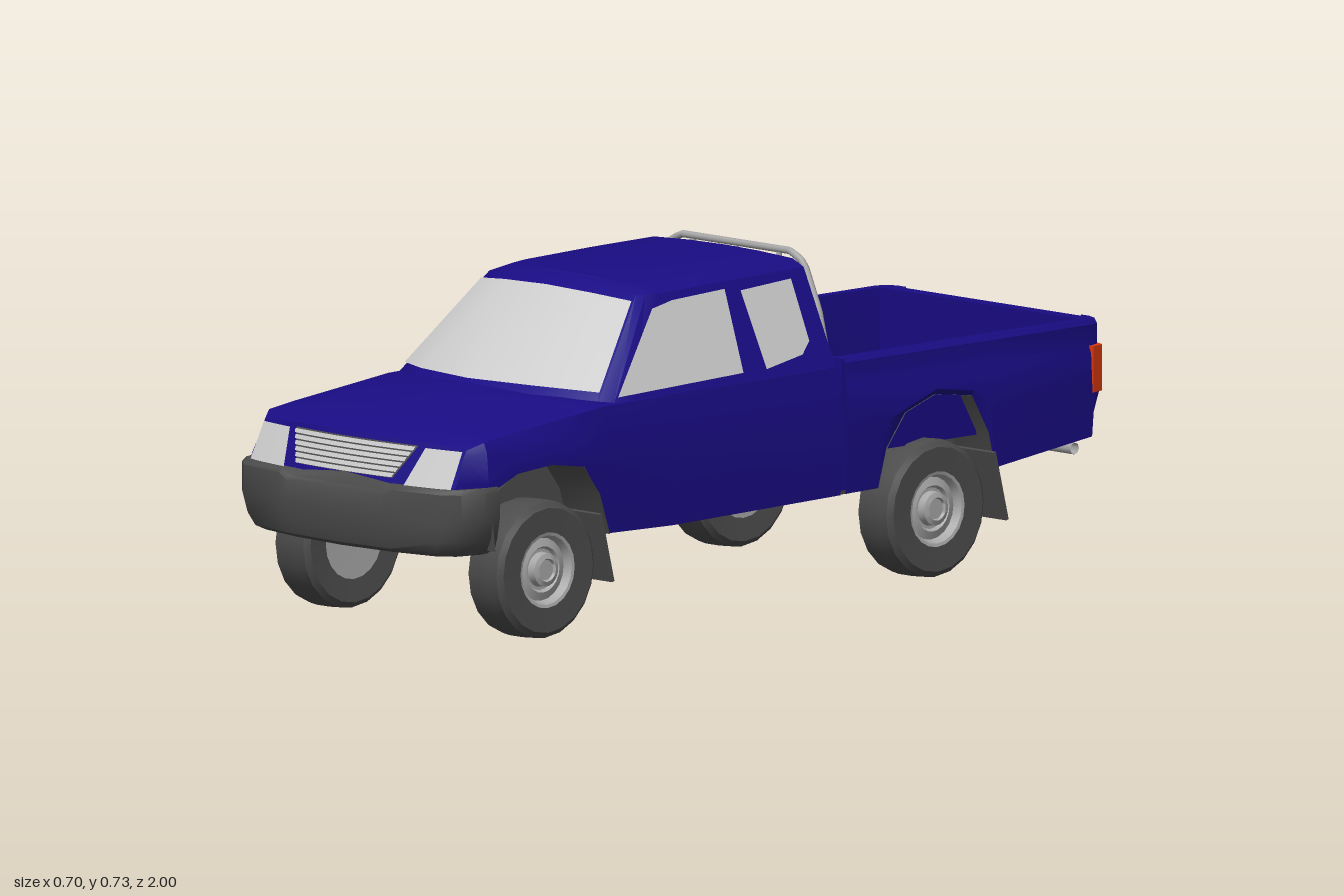
import * as THREE from 'three';
import { toCreasedNormals } from 'three/addons/utils/BufferGeometryUtils.js';

const mat = (color) => new THREE.MeshStandardMaterial({ color, side: THREE.DoubleSide });
const paint = mat(0x190c84), grey = mat(0xcccccc), dark = mat(0x4c4c4c);
const under = mat(0x333333), metal = mat(0xa8a8a8), lamp = mat(0xdd3a10);

function add(parent, name, geometry, material) {
  const mesh = new THREE.Mesh(geometry, material);
  mesh.name = name;
  parent.add(mesh);
  return mesh;
}

// Skin through equal-length rows of [x, y, z] points
function loft(rows, crease = 0.5) {
  const n = rows[0].length, index = [];
  for (let i = 0; i < rows.length - 1; i++) {
    for (let j = 0; j < n - 1; j++) {
      const a = i * n + j, b = a + n;
      index.push(a, b, a + 1, a + 1, b, b + 1);
    }
  }
  const g = new THREE.BufferGeometry();
  g.setAttribute('position', new THREE.Float32BufferAttribute(rows.flat(2), 3));
  g.setIndex(index);
  return toCreasedNormals(g, crease);
}

// Flat convex panel
function panel(points) {
  const g = new THREE.BufferGeometry();
  g.setAttribute('position', new THREE.Float32BufferAttribute(points.flat(), 3));
  g.setIndex(points.slice(2).flatMap((_, i) => [0, i + 1, i + 2]));
  g.computeVertexNormals();
  return g;
}

const flip = ([x, y, z]) => [-x, y, z];
// Half row ending on the centre line -> full row
const mirror = (half) => [...half, ...half.slice(0, -1).reverse().map(flip)];
const mix = (a, b, t) => a.map((v, i) => v + (b[i] - v) * t);
const noseZ = (x, y) => 0.965 - 0.5 * (y - 0.35) - 0.35 * x * x;

// Panel following the curved nose
function nosePanel(bottom, top, y0, y1, lift) {
  const row = ([a, b], y) => Array.from({ length: 9 }, (_, i) => {
    const x = a + (b - a) * i / 8;
    return [x, y, noseZ(x, y) + lift];
  });
  return loft([row(top, y1), row(bottom, y0)]);
}

function buildFrontBody(g) {
  // z, bottom y, sill x, middle x, shoulder x y, hood edge x y, centre y
  const stations = [
    [0.92, 0.33, 0.305, 0.31, 0.305, 0.43, 0.2, 0.437, 0.44],
    [0.86, 0.33, 0.335, 0.34, 0.325, 0.445, 0.2, 0.457, 0.463],
    [0.78, 0.372, 0.348, 0.348, 0.325, 0.455, 0.22, 0.472, 0.48],
    [0.68, 0.38, 0.35, 0.35, 0.325, 0.465, 0.23, 0.488, 0.498],
    [0.58, 0.365, 0.348, 0.348, 0.325, 0.475, 0.24, 0.497, 0.51],
    [0.53, 0.3, 0.34, 0.343, 0.325, 0.48, 0.26, 0.495, 0.508],
    [0.5, 0.21, 0.335, 0.34, 0.325, 0.483, 0.28, 0.49, 0.5],
    [0.3, 0.205, 0.333, 0.34, 0.325, 0.487, 0.28, 0.488, 0.49],
    [-0.207, 0.213, 0.333, 0.34, 0.325, 0.49, 0.28, 0.49, 0.49],
  ];
  const rows = stations.map(([z, yb, xl, xm, xd, yd, xe, ye, yf], i) => mirror([
    [xl, yb], [xm, Math.max(0.36, yb + 0.012)], [xm - 0.006, Math.min(0.43, yd - 0.02)],
    [xd, yd], [xe, ye], [0, yf],
  ].map(([x, y]) => [x, y, i ? z : noseZ(x, y)])));
  const n = rows[0].length;
  rows.unshift(Array(n).fill([0, 0.36, noseZ(0, 0.36)]));
  rows.push(Array(n).fill([0, 0.21, -0.207]));
  add(g, 'hoodAndLowerCab', loft(rows), paint);

  for (const s of [1, -1]) {
    add(g, 'headlight', nosePanel([0.18 * s, 0.303 * s], [0.205 * s, 0.3 * s], 0.345, 0.427, 0.005), grey);
  }
  add(g, 'grilleBack', nosePanel([-0.145, 0.145], [-0.185, 0.185], 0.36, 0.43, 0.004), dark);
  for (let i = 0; i < 6; i++) {
    const y = 0.362 + i * 0.0115, w = 0.145 + i * 0.0066;
    add(g, 'grilleSlat', nosePanel([-w, w], [-w - 0.004, w + 0.004], y, y + 0.0085, 0.009), grey);
  }
}

function buildCab(g) {
  // Half rings from front centre round to rear centre
  const base = [[0, 0.5, 0.6], [0.17, 0.5, 0.572], [0.3, 0.49, 0.49], [0.318, 0.486, 0.46],
    [0.322, 0.485, 0.4], [0.322, 0.485, 0], [0.322, 0.485, -0.205], [0, 0.485, -0.205]];
  const top = [[0, 0.705, 0.325], [0.13, 0.7, 0.32], [0.222, 0.69, 0.3], [0.236, 0.69, 0.285],
    [0.24, 0.69, 0.25], [0.24, 0.695, 0], [0.238, 0.698, -0.19], [0, 0.705, -0.193]];
  const roof = [[0, 0.712, 0.29], [0.12, 0.709, 0.285], [0.2, 0.705, 0.26], [0.207, 0.706, 0.24],
    [0.21, 0.708, 0.2], [0.212, 0.712, 0], [0.21, 0.714, -0.185], [0, 0.72, -0.188]];
  const ring = (h) => [...h, ...h.slice(0, -1).reverse().map(flip)];
  const squash = (k, dy) => roof.map(([x, y, z]) => [x * k, y + (x ? dy : 0), z]);
  add(g, 'cabShell', loft([base, top, roof, squash(0.5, 0.005), squash(0, 0.006)].map(ring), 0.6), paint);

  // Windscreen lies just off the cab front
  const glassRow = (t) => [2, 1, 0].map((i) => mix(base[i], top[i], t)).map(([x, y, z]) => [x, y + 0.004, z + 0.005]);
  add(g, 'windscreen', loft([0.93, 0.07].map((t) => mirror(glassRow(t)))), grey);

  // Side windows as [z, y] outlines
  const outlines = {
    doorWindow: [[0.452, 0.497], [0.285, 0.663], [0.22, 0.674], [0.06, 0.68], [0.07, 0.507]],
    quarterWindow: [[0.015, 0.672], [-0.14, 0.68], [-0.145, 0.55], [-0.115, 0.525], [0, 0.507]],
  };
  for (const [name, outline] of Object.entries(outlines)) {
    const pts = outline.map(([z, y]) => [0.326 - (y - 0.485) * 0.39, y, z]);
    add(g, name, panel(pts), grey);
    add(g, name, panel(pts.map(flip).reverse()), grey);
  }
  add(g, 'rearWindow', panel([[0.27, 0.52, -0.208], [-0.27, 0.52, -0.208], [-0.222, 0.68, -0.199], [0.222, 0.68, -0.199]]), grey);
}

function buildBed(g) {
  // z, bottom y, corner inset
  const stations = [[-0.222, 0.214, 0], [-0.32, 0.216, 0], [-0.345, 0.3, 0], [-0.4, 0.37, 0], [-0.49, 0.4, 0],
    [-0.6, 0.385, 0], [-0.65, 0.3, 0], [-0.67, 0.22, 0], [-0.965, 0.255, 0], [-0.99, 0.258, 0.01], [-1, 0.26, 0.035]];
  const rows = stations.map(([z, yb, i]) => mirror([
    [0.333 - i, yb], [0.342 - i, Math.max(0.36, yb + 0.012)], [0.338 - i, 0.435], [0.332 - i, 0.45],
    [0.332 - i, 0.497], [0.324 - i, 0.507], [0.3 - i, 0.507], [0.297 - i, 0.29], [0, 0.29],
  ].map(([x, y]) => [x, y, z + (i ? Math.max(0, 0.35 - y) * 0.3 : 0)])));
  add(g, 'bedSides', loft(rows), paint);
  add(g, 'bedFrontWall', new THREE.BoxGeometry(0.64, 0.285, 0.018), paint).position.set(0, 0.362, -0.231);

  // Tailgate side profile in (z, y), extruded across
  const profile = [[-0.955, 0.258], [-0.972, 0.258], [-1, 0.35], [-1, 0.475], [-0.988, 0.507], [-0.955, 0.507]];
  const shape = new THREE.Shape(profile.map(([z, y]) => new THREE.Vector2(-z, y)));
  const gate = new THREE.ExtrudeGeometry(shape, { depth: 0.6, bevelEnabled: false });
  gate.rotateY(Math.PI / 2).translate(-0.3, 0, 0);
  add(g, 'tailgate', gate, paint);

  // Tail lamps wrap the rear corners
  for (const s of [1, -1]) {
    const plan = [[0.272, 1.003], [0.308, 1.003], [0.336, 0.992], [0.345, 0.957], [0.272, 0.957]];
    const lampGeo = new THREE.ExtrudeGeometry(new THREE.Shape(plan.map(([x, z]) => new THREE.Vector2(s * x, z))),
      { depth: 0.1, bevelEnabled: false });
    lampGeo.rotateX(-Math.PI / 2).translate(0, 0.352, 0);
    add(g, 'tailLamp', lampGeo, lamp);
  }
}

function buildBumper(g) {
  const plan = [[0.343, 0.83], [0.35, 0.88], [0.332, 0.935], [0.3, 0.962], [0.17, 0.985], [0.145, 0.987], [0, 0.995]];
  const levels = [[0.2, 0.87, 0.03], [0.21, 0.92, 0.012], [0.235, 0.965, 0.004], [0.28, 1, 0], [0.34, 1, 0], [0.35, 0.985, 0.008]];
  const rows = levels.map(([y, k, back]) => mirror(plan.map(([x, z]) =>
    [x * k, y > 0.33 && x < 0.16 ? y - 0.014 : y, z - back])));
  const n = rows[0].length;
  rows.unshift(Array(n).fill([0, 0.2, 0.83]));
  rows.push(Array(n).fill([0, 0.335, 0.83]));
  add(g, 'frontBumper', loft(rows, 0.7), dark);
}

// Wheel housing: arched roof plus inner wall
function housing(g, name, points, xIn, xOut, material) {
  for (const s of [1, -1]) {
    add(g, name, loft([xIn, xOut].map((x) => points.map(([z, y]) => [s * x, y, z]))), material);
    add(g, name + 'Wall', panel(points.map(([z, y]) => [s * xIn, y, z])), material);
  }
}

function buildWheel(g, x, z) {
  const wheel = new THREE.Group();
  wheel.name = 'wheel';
  const lathe = (pts) => toCreasedNormals(new THREE.LatheGeometry(pts.map(([r, y]) => new THREE.Vector2(r, y)), 20), 0.6);
  add(wheel, 'tyre', lathe([[0.085, -0.048], [0.135, -0.052], [0.147, -0.042], [0.15, -0.02], [0.15, 0.02],
    [0.147, 0.042], [0.135, 0.052], [0.082, 0.05], [0.08, 0.035]]), dark);
  add(wheel, 'rim', lathe([[0, -0.044], [0.087, -0.046], [0.087, 0.02], [0.083, 0.05], [0.075, 0.048], [0.068, 0.03],
    [0.05, 0.036], [0.045, 0.028], [0.038, 0.028], [0.036, 0.046], [0.025, 0.05], [0.022, 0.044], [0, 0.044]]), metal);
  wheel.rotation.z = x > 0 ? -Math.PI / 2 : Math.PI / 2;
  wheel.position.set(x, 0.152, z);
  g.add(wheel);
}

function rod(g, name, points, radius, material) {
  const path = new THREE.CurvePath();
  const v = points.map((p) => new THREE.Vector3(...p));
  for (let i = 1; i < v.length; i++) path.add(new THREE.LineCurve3(v[i - 1], v[i]));
  add(g, name, new THREE.TubeGeometry(path, (v.length - 1) * 6, radius, 8), material);
}

export function createModel() {
  const g = new THREE.Group();
  g.name = 'pickupTruck';
  buildFrontBody(g);
  buildCab(g);
  buildBed(g);
  buildBumper(g);

  // Floor pan, narrowed beside the wheels
  const pan = [[0.9, 0.31, 0.207], [0.845, 0.32, 0.207], [0.845, 0.222, 0.207], [0.5, 0.222, 0.209], [0.5, 0.333, 0.209],
    [-0.32, 0.333, 0.215], [-0.32, 0.222, 0.215], [-0.67, 0.222, 0.221], [-0.67, 0.333, 0.221], [-0.97, 0.325, 0.257]];
  add(g, 'floorPan', loft(pan.map(([z, w, y]) => [[-w, y, z], [w, y, z]])), under);

  const frontArch = [[0.845, 0.21], [0.86, 0.33], [0.78, 0.372], [0.68, 0.38], [0.58, 0.365], [0.53, 0.3], [0.5, 0.21]];
  const rearArch = [[-0.32, 0.216], [-0.345, 0.3], [-0.4, 0.37], [-0.49, 0.4], [-0.6, 0.385], [-0.65, 0.3], [-0.67, 0.22]];
  housing(g, 'frontWheelWell', frontArch, 0.222, 0.345, dark);
  housing(g, 'rearWheelWell', rearArch, 0.222, 0.336, dark);
  housing(g, 'bedWheelHousing', rearArch.map(([z, y]) => [z, y + 0.012]), 0.207, 0.3, paint);

  for (const s of [1, -1]) {
    for (const [z, flapZ] of [[0.685, 0.513], [-0.49, -0.675]]) {
      buildWheel(g, s * 0.292, z);
      const flap = add(g, 'mudFlap', new THREE.BoxGeometry(0.125, 0.155, 0.008), dark);
      flap.position.set(s * 0.286, 0.182, flapZ);
      flap.rotation.x = 0.25;
    }
    rod(g, 'stepBracket', [[s * 0.2, 0.26, -0.93], [s * 0.2, 0.225, -0.955]], 0.01, dark);
  }
  rod(g, 'rearStepBar', [[-0.29, 0.225, -0.955], [0.29, 0.225, -0.955]], 0.013, metal);

  // Hoop and uprights behind the cab
  const hoop = [[0.275, 0.5, -0.224], [0.25, 0.6, -0.224], [0.205, 0.7, -0.224], [0.165, 0.721, -0.224]];
  rod(g, 'rollHoop', [...hoop, ...hoop.map(flip).reverse()], 0.008, metal);
  for (const x of [-0.13, 0, 0.13]) rod(g, 'rollHoopUpright', [[x, 0.5, -0.224], [x, 0.721, -0.224]], 0.006, metal);
  return g;
}
